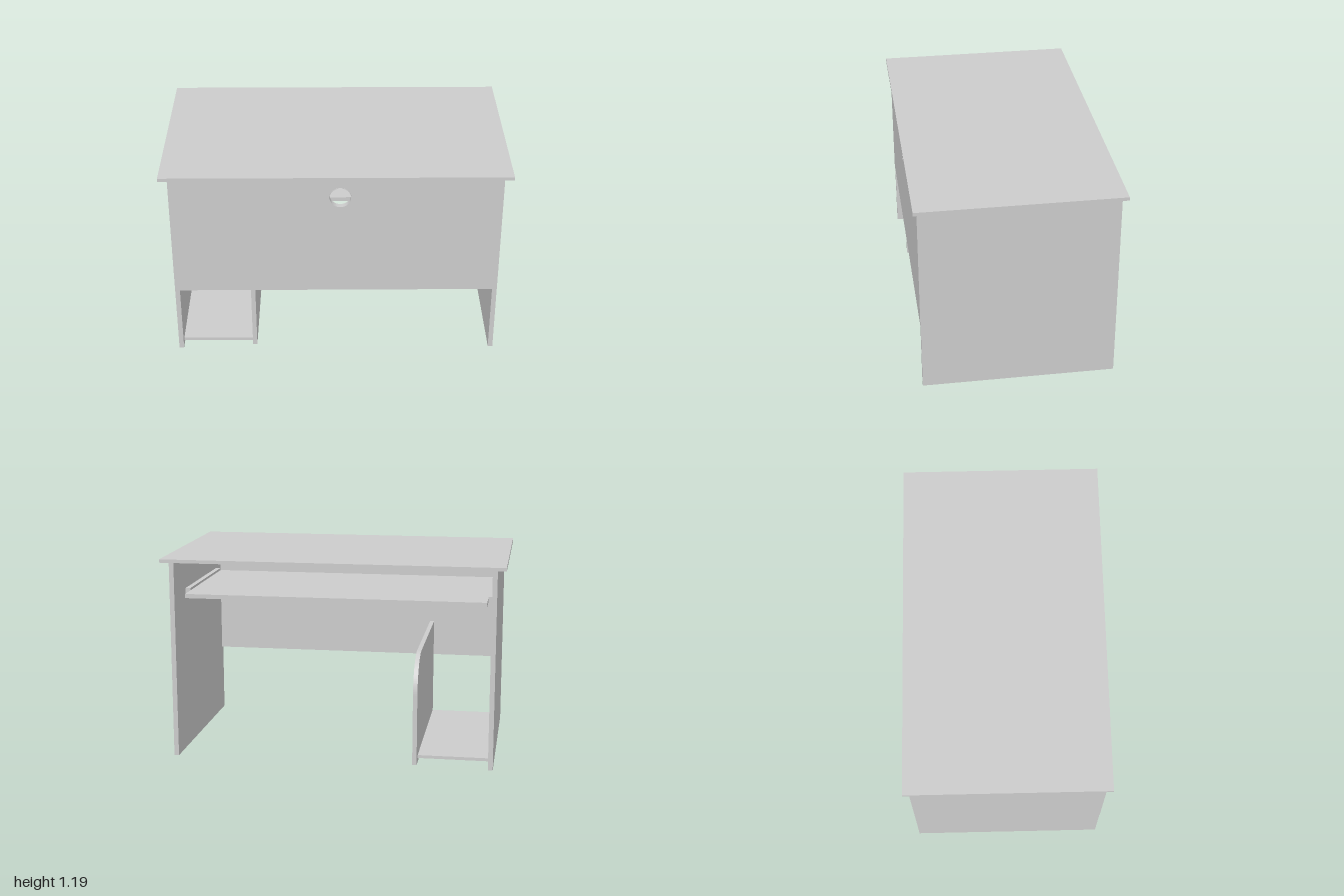
import * as THREE from 'three';

const material = new THREE.MeshStandardMaterial({ color: 0xcccccc, flatShading: true });

export function createModel() {
  const desk = new THREE.Group();
  desk.name = 'desk';

  const add = (name, geometry) => {
    const mesh = new THREE.Mesh(geometry, material);
    mesh.name = name;
    desk.add(mesh);
    return mesh;
  };

  // Board given by its lower and upper limits on each axis
  const board = (name, [x0, x1], [y0, y1], [z0, z1]) =>
    add(name, new THREE.BoxGeometry(x1 - x0, y1 - y0, z1 - z0)
      .translate((x0 + x1) / 2, (y0 + y1) / 2, (z0 + z1) / 2));

  board('desktop', [-1, 1], [1.17, 1.19], [-0.585, 0.585]);

  // Side panels and the tray runners fixed to them
  for (const [side, s] of [['left', 1], ['right', -1]]) {
    const span = (a, b) => [Math.min(a * s, b * s), Math.max(a * s, b * s)];
    board(side + 'SidePanel', span(0.922, 0.95), [0, 1.17], [-0.56, 0.56]);
    board(side + 'TrayRunner', span(0.892, 0.922), [0.915, 0.975], [-0.32, 0.41]);
  }

  // Front panel with a round cable hole
  const hole = { x: 0.024, y: 1.05, r: 0.063 };
  const panel = new THREE.Shape([
    new THREE.Vector2(-0.95, 0.42), new THREE.Vector2(0.95, 0.42),
    new THREE.Vector2(0.95, 1.17), new THREE.Vector2(-0.95, 1.17),
  ]);
  panel.holes.push(new THREE.Path().absarc(hole.x, hole.y, hole.r, 0, Math.PI * 2, true));
  add('frontPanel', new THREE.ExtrudeGeometry(panel, { depth: 0.031, bevelEnabled: false, curveSegments: 32 })
    .translate(0, 0, 0.531));

  // Thin liner standing just proud of the cable hole
  const ring = new THREE.Shape().absarc(0, 0, hole.r, 0, Math.PI * 2, false);
  ring.holes.push(new THREE.Path().absarc(0, 0, hole.r - 0.002, 0, Math.PI * 2, true));
  add('cableHoleLiner', new THREE.ExtrudeGeometry(ring, { depth: 0.036, bevelEnabled: false, curveSegments: 32 })
    .translate(hole.x, hole.y, 0.53));

  board('keyboardTray', [-0.89, 0.89], [0.938, 0.963], [-0.445, 0.41]);

  // Low divider with a rounded upper back corner, drawn as (-z, y)
  const r = 0.22, back = 0.53, top = 0.64;
  const profile = new THREE.Shape();
  profile.moveTo(-0.531, 0);
  profile.lineTo(back, 0);
  profile.lineTo(back, top - r);
  profile.absarc(back - r, top - r, r, 0, Math.PI / 2, false);
  profile.lineTo(-0.531, top);
  profile.closePath();
  add('divider', new THREE.ExtrudeGeometry(profile, { depth: 0.026, bevelEnabled: false, curveSegments: 16 })
    .rotateY(Math.PI / 2).translate(-0.505, 0, 0));

  board('bottomShelf', [-0.922, -0.505], [0.024, 0.042], [-0.468, 0.52]);

  return desk;
}
